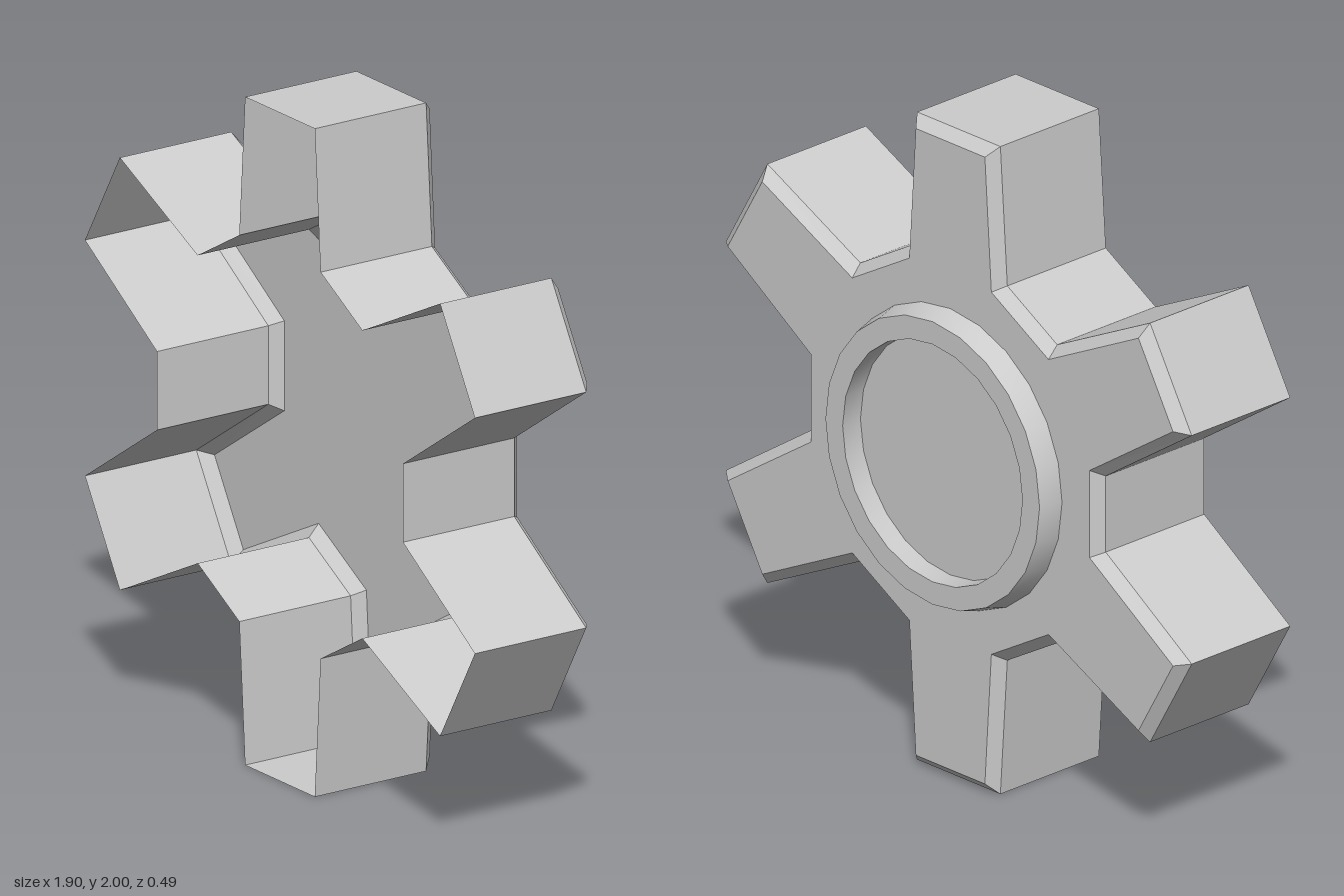
import * as THREE from 'three';
import { toCreasedNormals } from 'three/addons/utils/BufferGeometryUtils.js';

const TEETH = 6;
const Z_OPEN = 0.245, Z_BEVEL = -0.142, Z_PLATE = -0.175, Z_HUB = -0.245;
const HUB_R = 0.456, HUB_SEGMENTS = 24;

const material = new THREE.MeshStandardMaterial({ color: 0xcccccc, side: THREE.DoubleSide });

function addMesh(parent, name, geometry) {
  const mesh = new THREE.Mesh(geometry, material);
  mesh.name = name;
  parent.add(mesh);
  return mesh;
}

// Counter-clockwise cog outline, repeating one tooth and its valley around z.
function cogOutline(tipHalf, tipR, valleyR, valleyHalf) {
  const points = [];
  const centre = new THREE.Vector2();
  for (let i = 0; i < TEETH; i++) {
    const angle = (i / TEETH) * Math.PI * 2;
    for (const [x, y] of [[valleyR, -valleyHalf], [valleyR, valleyHalf]]) {
      points.push(new THREE.Vector2(x, y).rotateAround(centre, angle));
    }
    for (const [x, y] of [[tipR, -tipHalf], [tipR, tipHalf]]) {
      points.push(new THREE.Vector2(x, y).rotateAround(centre, angle + Math.PI / TEETH));
    }
  }
  return points;
}

// Flat-faced band joining two matching outlines at different depths.
function band(front, zFront, back, zBack) {
  const positions = [];
  const n = front.length;
  for (let i = 0; i < n; i++) {
    const j = (i + 1) % n;
    const a = [front[i].x, front[i].y, zFront], b = [back[i].x, back[i].y, zBack];
    const c = [back[j].x, back[j].y, zBack], d = [front[j].x, front[j].y, zFront];
    positions.push(...a, ...b, ...c, ...a, ...c, ...d);
  }
  const geometry = new THREE.BufferGeometry();
  geometry.setAttribute('position', new THREE.Float32BufferAttribute(positions, 3));
  geometry.computeVertexNormals();
  return geometry;
}

export function createModel() {
  const model = new THREE.Group();
  model.name = 'cog';
  const cog = new THREE.Group();
  cog.name = 'cogBody';
  cog.position.y = 1;
  model.add(cog);

  // Open-fronted toothed shell with a bevelled back edge
  const outer = cogOutline(0.17, 1, 0.6, 0.1175);
  const inner = cogOutline(0.141, 0.968, 0.568, 0.1346);
  addMesh(cog, 'toothWalls', band(outer, Z_OPEN, outer, Z_BEVEL));
  addMesh(cog, 'backBevel', band(outer, Z_BEVEL, inner, Z_PLATE));

  // Back plate with a round hole for the hub
  const plateShape = new THREE.Shape(inner);
  const hole = [];
  for (let i = 0; i < HUB_SEGMENTS; i++) {
    const a = (-i / HUB_SEGMENTS) * Math.PI * 2;
    hole.push(new THREE.Vector2(Math.cos(a) * HUB_R, Math.sin(a) * HUB_R));
  }
  plateShape.holes.push(new THREE.Path(hole));
  const plate = new THREE.ShapeGeometry(plateShape);
  plate.rotateY(Math.PI); // the outline is mirror-symmetric, so this only turns the face backward
  addMesh(cog, 'backPlate', plate).position.z = Z_PLATE;

  // Raised hub ring with a shallow recess behind
  const profile = [[HUB_R, Z_PLATE], [0.437, Z_HUB], [0.367, Z_HUB], [0.367, Z_PLATE]]
    .map(([r, z]) => new THREE.Vector2(r, -z));
  const ring = new THREE.LatheGeometry(profile, HUB_SEGMENTS);
  ring.rotateX(-Math.PI / 2);
  addMesh(cog, 'hubRing', toCreasedNormals(ring, Math.PI / 6));

  // Hub floor, flush with the plate
  const floor = new THREE.CircleGeometry(HUB_R, HUB_SEGMENTS);
  floor.rotateY(Math.PI);
  addMesh(cog, 'hubFloor', floor).position.z = Z_PLATE;

  // Ten-sided axle pad on the inside of the floor
  addMesh(cog, 'axlePad', new THREE.CircleGeometry(0.195, 10)).position.z = Z_PLATE + 0.002;

  return model;
}
